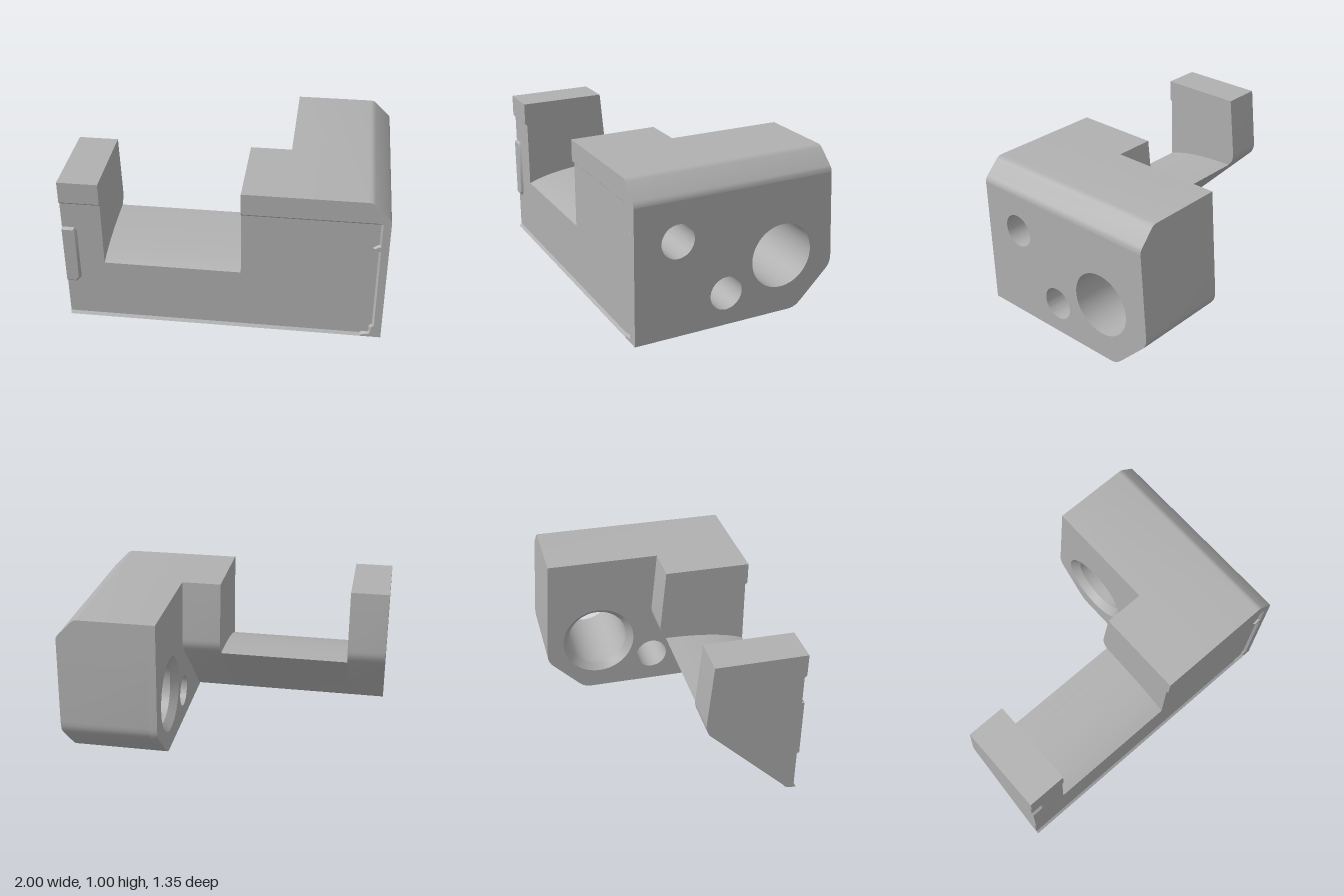
import * as THREE from 'three';
import { toCreasedNormals } from 'three/addons/utils/BufferGeometryUtils.js';

const FLOOR = 0.66, FACE = 0.675; // recessed and outer front planes

export function createModel() {
  const group = new THREE.Group();
  const grey = new THREE.MeshStandardMaterial({ color: 0xb0b0b0, side: THREE.DoubleSide });
  grey.name = 'machined grey';

  function add(name, geometry) {
    const mesh = new THREE.Mesh(toCreasedNormals(geometry, 0.6), grey);
    mesh.name = name;
    group.add(mesh);
    return mesh;
  }

  // Extrude a side profile of [z, y] points along x, with [z, y, radius] holes
  function alongX(name, profile, x0, x1, holes = []) {
    const shape = new THREE.Shape(profile.map(([z, y]) => new THREE.Vector2(-z, y)));
    for (const [z, y, r] of holes) {
      shape.holes.push(new THREE.Path().absarc(-z, y, r, 0, Math.PI * 2, true));
    }
    const geo = new THREE.ExtrudeGeometry(shape, { depth: x1 - x0, bevelEnabled: false, curveSegments: 32 });
    return add(name, geo.rotateY(Math.PI / 2).translate(x0, 0, 0));
  }

  // Raised plate on the recessed front: flat top plus a sloped edge from top path to base path
  function raised(name, top, base, outer) {
    const shape = new THREE.Shape([...top, ...outer].map(([x, y]) => new THREE.Vector2(x, y)));
    const plate = new THREE.ExtrudeGeometry(shape, { depth: FACE - FLOOR, bevelEnabled: false });
    add(name, plate.translate(0, 0, FLOOR));
    const pos = [];
    for (let i = 0; i < top.length - 1; i++) {
      const a = [...top[i], FACE], b = [...top[i + 1], FACE];
      const c = [...base[i + 1], FLOOR], d = [...base[i], FLOOR];
      pos.push(...a, ...d, ...c, ...a, ...c, ...b);
    }
    const slope = new THREE.BufferGeometry();
    slope.setAttribute('position', new THREE.Float32BufferAttribute(pos, 3));
    slope.computeVertexNormals();
    add(name + 'Slope', slope);
  }

  // Front edge with bottom lip and the overhanging top band, bottom to top
  const lip = [[FACE, 0], [FLOOR, 0.018]];
  const band = [[FLOOR, 0.845], [FACE, 0.86]];
  // Sloped underside of the left section, top to bottom
  const underside = [[0.585, 0.035], [0.605, 0.012], [0.635, 0]];

  // Upright posts either side of the cradle
  const post = [...lip, ...band, [FACE, 1], [0.11, 1],
    [0.073, 0.6], [0.073, 0.575], [0.079, 0.55], [0.092, 0.522], ...underside];
  alongX('leftPost', post, -1, -0.75);
  alongX('middlePost', post, 0.11, 0.37);

  // Cradle with a gently curved floor
  const curve = new THREE.QuadraticBezierCurve(new THREE.Vector2(FLOOR, 0.42),
    new THREE.Vector2(0.48, 0.495), new THREE.Vector2(0.11, 0.5));
  alongX('cradle', [...lip, ...curve.getPoints(12).map(p => [p.x, p.y]), ...underside], -0.75, 0.11);

  // Large block: lower body with bores; the upper small bore is closed by the post
  const backZ = y => -0.675 + 0.04 * (y - 0.3) / 0.7;
  const body = [...lip, ...band, [backZ(0.86), 0.86], [-0.675, 0.31], [-0.674, 0.28],
    [-0.666, 0.25], [-0.65, 0.225], [-0.46, 0.035], [-0.438, 0.017], [-0.41, 0.004], [-0.38, 0]];
  const bigZ = -0.31, bigY = 0.376, bigR = 0.207, flare = 0.25, flareX = 0.42;
  const smallHoles = [[0.072, 0.21, 0.107], [0.397, 0.61, 0.107]];
  alongX('blockInnerLayer', body, 0.37, flareX, [[bigZ, bigY, flare], ...smallHoles]);
  alongX('blockBody', body, flareX, 1, [[bigZ, bigY, bigR], ...smallHoles]);
  const cone = new THREE.CylinderGeometry(flare, bigR, flareX - 0.37, 64, 1, true);
  cone.rotateZ(Math.PI / 2).translate((0.37 + flareX) / 2, bigY, bigZ);
  add('boreCountersink', cone);

  // Top of the block with softened corner chamfer and leaning back
  const outline = [[0.37, 0.86], [1, 0.86], [0.997, 0.88], [0.985, 0.897],
    [0.897, 0.985], [0.88, 0.997], [0.86, 1], [0.37, 1]];
  const cap = new THREE.ExtrudeGeometry(new THREE.Shape(outline.map(p => new THREE.Vector2(...p))),
    { depth: 1, bevelEnabled: false });
  const p = cap.attributes.position;
  for (let i = 0; i < p.count; i++) p.setZ(i, p.getZ(i) > 0.5 ? FACE : backZ(p.getY(i)));
  cap.computeVertexNormals();
  add('blockTop', cap);

  // Right front rim with a small pointer and a stepped lower corner
  raised('frontRim',
    [[0.953, 0.86], [0.953, 0.695], [0.935, 0.69], [0.915, 0.676], [0.935, 0.664], [0.953, 0.658],
      [0.953, 0.092], [0.934, 0.075], [0.934, 0.034], [0.92, 0.018], [0.885, 0.018], [0.87, 0]],
    [[0.94, 0.845], [0.94, 0.7], [0.93, 0.695], [0.903, 0.676], [0.93, 0.658], [0.94, 0.65],
      [0.94, 0.1], [0.922, 0.08], [0.922, 0.04], [0.915, 0.03], [0.88, 0.03], [0.865, 0.018]],
    [[1, 0], [1, 0.86]]);

  // Raised tab at the left end of the front
  raised('frontTab',
    [[-1, 0.277], [-0.945, 0.277], [-0.922, 0.305], [-0.922, 0.65], [-0.93, 0.66], [-1, 0.66]],
    [[-1, 0.262], [-0.94, 0.262], [-0.908, 0.3], [-0.908, 0.655], [-0.922, 0.675], [-1, 0.675]],
    []);

  return group;
}
